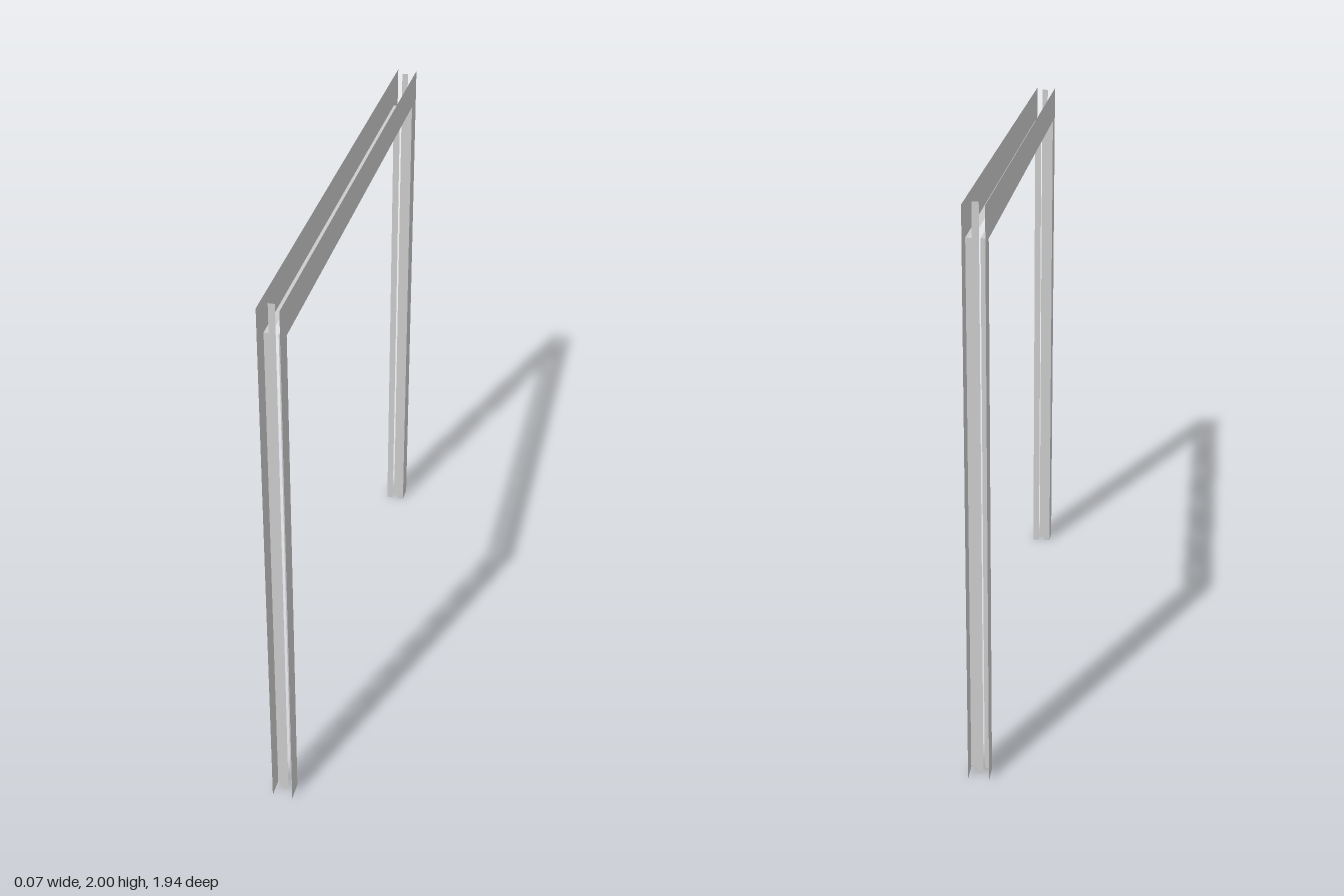
import * as THREE from 'three';

const HEIGHT = 2, HALF = 0.97;      // outer size of the frame
const INNER = 0.9, HEAD = 1.88;     // opening half width and height
const SIDE = 0.036, SLOT = 0.011;   // casing offset and half slot width

export function createModel() {
  const group = new THREE.Group();
  const material = new THREE.MeshStandardMaterial({ color: 0xcccccc, side: THREE.DoubleSide });
  const add = (name, geometry, x, y, z) => {
    const mesh = new THREE.Mesh(geometry, material);
    mesh.name = name;
    mesh.position.set(x, y, z);
    group.add(mesh);
  };

  // U-shaped sheet used for the casing on both faces of the wall
  const outline = new THREE.Shape([
    [-HALF, 0], [-INNER, 0], [-INNER, HEAD], [INNER, HEAD],
    [INNER, 0], [HALF, 0], [HALF, HEIGHT], [-HALF, HEIGHT],
  ].map(([z, y]) => new THREE.Vector2(z, y)));
  const casing = new THREE.ShapeGeometry(outline).rotateY(Math.PI / 2);

  const lip = SIDE - SLOT;
  const jambLip = new THREE.PlaneGeometry(lip, HEAD);
  const headLip = new THREE.PlaneGeometry(lip, 2 * INNER).rotateX(-Math.PI / 2);
  const web = new THREE.PlaneGeometry(2 * SLOT, HEIGHT);

  for (const s of [1, -1]) {
    const side = s > 0 ? 'left' : 'right';
    const lipX = s * (SIDE + SLOT) / 2;
    add(`${side}Casing`, casing, s * SIDE, 0, 0);
    // lips turned inwards around the opening
    add(`${side}HeadLip`, headLip, lipX, HEAD, 0);
    for (const e of [1, -1]) add(`${side}JambLip`, jambLip, lipX, HEAD / 2, e * INNER);
    // narrow strip closing the slot of each jamb
    add(s > 0 ? 'frontJambStrip' : 'backJambStrip', web, 0, HEIGHT / 2, s * 0.93);
  }
  return group;
}
